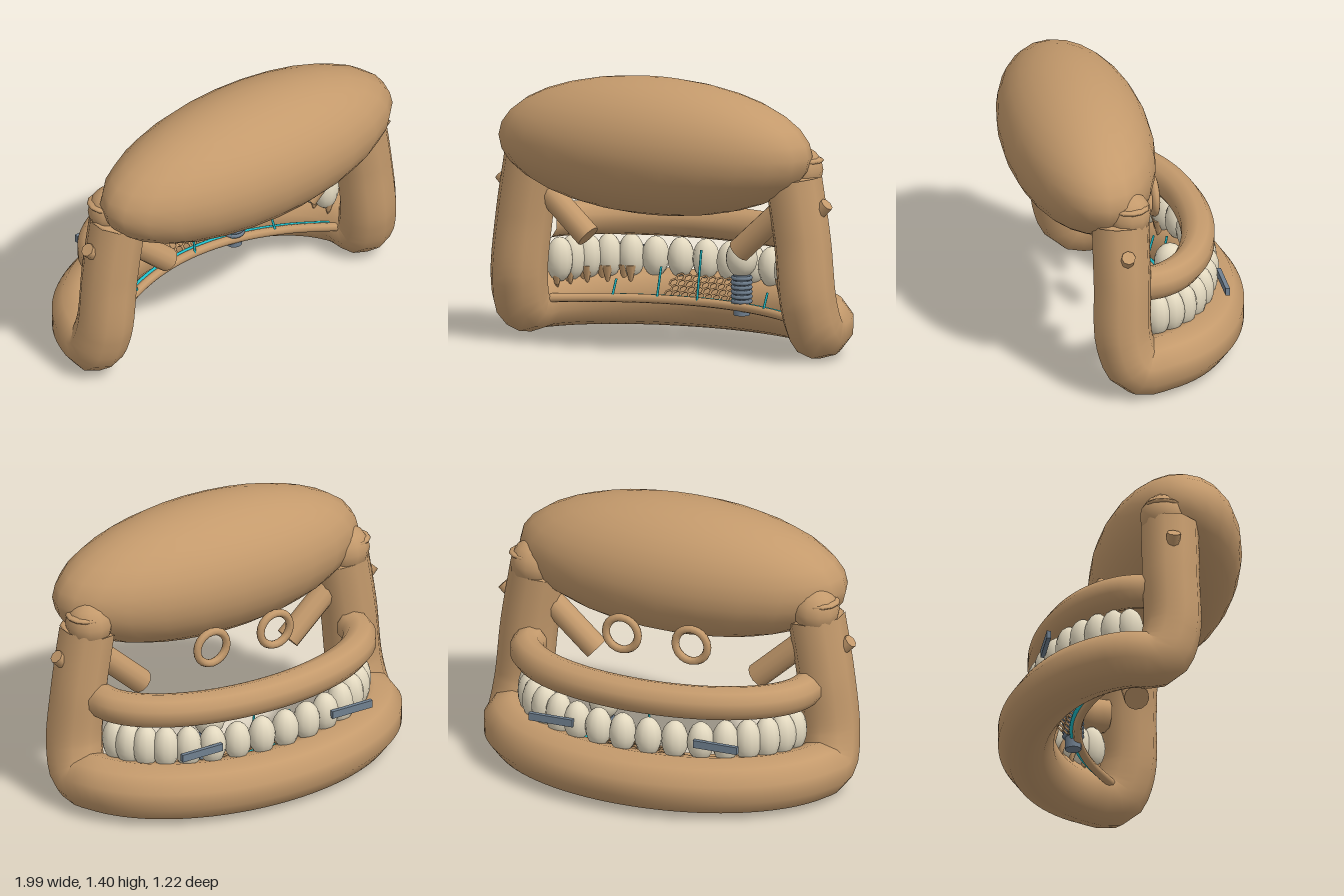
import * as THREE from 'three';

export function createModel() {
  const root = new THREE.Group();
  root.name = 'jawModel';
  const mat = (name, color) => {
    const m = new THREE.MeshStandardMaterial({ color });
    m.name = name;
    return m;
  };
  const bone = mat('tan bone', 0xc49a6c);
  const enamel = mat('cream enamel', 0xe3d9c0);
  const steel = mat('grey steel', 0x708090);
  const nerve = mat('turquoise wire', 0x20c4d0);
  const V = (x, y, z) => new THREE.Vector3(x, y, z);

  const add = (name, geo, material, x = 0, y = 0, z = 0, parent = root) => {
    const m = new THREE.Mesh(geo, material);
    m.name = name;
    m.position.set(x, y, z);
    parent.add(m);
    return m;
  };
  const ball = (name, material, rx, ry, rz, x, y, z, w = 16, h = 12) => {
    const m = add(name, new THREE.SphereGeometry(1, w, h), material, x, y, z);
    m.scale.set(rx, ry, rz);
    return m;
  };
  const tube = (name, points, r, material, segments = 48, sides = 8) =>
    add(name, new THREE.TubeGeometry(new THREE.CatmullRomCurve3(points), segments, r, sides), material);
  // straight round bar between two points
  const bar = (name, a, b, r, material, sides = 12) => {
    const d = b.clone().sub(a);
    const m = add(name, new THREE.CylinderGeometry(r, r, d.length(), sides), material);
    m.position.copy(a).add(b).multiplyScalar(0.5);
    m.quaternion.setFromUnitVectors(V(0, 1, 0), d.normalize());
    return m;
  };
  // half-ellipse arch, bulging towards -z
  const arch = (a, b, y, z0, n, spread = Math.PI / 2) => {
    const pts = [];
    for (let i = 0; i <= n; i++) {
      const t = -spread + (2 * spread * i) / n;
      pts.push(V(a * Math.sin(t), y, z0 - b * Math.cos(t)));
    }
    return pts;
  };

  // cranium
  ball('cranium', bone, 0.89, 0.35, 0.375, 0, 1.055, 0.235, 24, 16);

  // mandible: ramus, body arch and other ramus in one sweep
  const ramus = [V(0.76, 0.93, 0.155), V(0.81, 0.62, 0.155), V(0.842, 0.3, 0.15)];
  tube('mandible', [
    ...ramus.map((p) => V(-p.x, p.y, p.z)),
    ...arch(0.85, 0.55, 0.158, 0.085, 12),
    ...ramus.slice().reverse(),
  ], 0.148, bone, 90, 10);

  // upper jaw arch
  tube('maxilla', arch(0.76, 0.41, 0.572, 0.04, 14), 0.088, bone, 48, 10);

  for (const s of [-1, 1]) {
    // jaw joint
    const cap = ball('ramusCap', bone, 0.143, 0.02, 0.143, s * 0.76, 0.925, 0.155, 12, 8);
    cap.rotation.z = s * 0.15;
    ball('condyle', bone, 0.125, 0.125, 0.12, s * 0.77, 0.98, 0.12, 12, 8);
    ball('jointDisc', bone, 0.1, 0.022, 0.1, s * 0.8, 1.03, 0.115, 12, 8);
    // muscle bar and its outer stub
    bar('muscleBar', V(s * 0.44, 0.54, 0.15), V(s * 0.77, 0.84, 0.15), 0.064, bone);
    bar('outerStub', V(s * 0.85, 0.72, 0.15), V(s * 0.95, 0.82, 0.15), 0.036, bone, 8);
    // ring hanging below the cranium
    add('ring', new THREE.TorusGeometry(0.088, 0.021, 8, 20), bone, s * 0.19, 0.782, -0.125);
    // plate across the outer teeth
    add('dentalPlate', new THREE.BoxGeometry(0.24, 0.04, 0.022), steel, s * 0.45, 0.39, -0.437);
  }

  // tooth row, with tapering roots under the back teeth
  for (let i = 0; i < 16; i++) {
    const k = i - 7.5;
    const t = THREE.MathUtils.degToRad(k * 11.2);
    const x = 0.72 * Math.sin(t), z = -0.41 * Math.cos(t);
    const back = Math.abs(k) > 3;
    const tooth = ball('tooth', enamel, 0.07, back ? 0.115 : 0.105, 0.07, x, 0.372, z, 12, 10);
    tooth.rotation.y = t;
    if (back) {
      for (const o of [-0.025, 0.025]) {
        const root1 = add('toothRoot', new THREE.ConeGeometry(0.03, 0.12, 8), bone,
          x + o * Math.cos(t), 0.27, z + 0.03 * Math.cos(t) + Math.abs(o) * Math.sin(Math.abs(t)));
        root1.rotation.x = Math.PI;
      }
    }
  }

  // inner bar with a thin wire behind it and upright branches
  const shallow = (y, z0) => [-0.74, -0.5, -0.25, 0, 0.25, 0.5, 0.74].map((x) => V(x, y, z0 + 0.5 * x * x));
  tube('innerBar', shallow(0.187, -0.205), 0.023, bone);
  tube('nerveWire', shallow(0.195, -0.235), 0.011, nerve, 40, 6);
  for (const [x, top] of [[-0.44, 0.28], [-0.22, 0.35], [0, 0.45], [0.22, 0.35], [0.44, 0.28]]) {
    const z = -0.22 + 0.5 * x * x;
    bar('nerveBranch', V(x, 0.19, z + 0.03), V(x, top, z - 0.015), 0.006, nerve, 6);
  }

  // honeycomb mesh lining the inside of the lower jaw
  const mesh = new THREE.Group();
  mesh.name = 'honeycombMesh';
  mesh.position.set(0, 0.245, -0.285);
  mesh.rotation.x = -Math.PI / 2 + 0.75;
  root.add(mesh);
  const cell = new THREE.TorusGeometry(0.024, 0.006, 5, 6);
  for (let r = 0; r < 4; r++) {
    for (let c = 0; c < 9; c++) {
      add('meshCell', cell, bone, (c - 4 + (r % 2 ? 0.25 : -0.25)) * 0.046, (r - 1.5) * 0.036, 0, mesh)
        .rotation.z = Math.PI / 6;
    }
  }

  // screw implant with crown
  const ix = 0.255, iz = -0.2;
  ball('implantCrown', enamel, 0.081, 0.099, 0.081, ix, 0.434, iz);
  add('implantScrew', new THREE.CylinderGeometry(0.045, 0.042, 0.21, 12), steel, ix, 0.247, iz);
  for (let i = 0; i < 6; i++) {
    const thread = add('screwThread', new THREE.TorusGeometry(0.046, 0.011, 6, 16), steel, ix, 0.215 + i * 0.024, iz);
    thread.rotation.x = Math.PI / 2;
  }
  return root;
}
